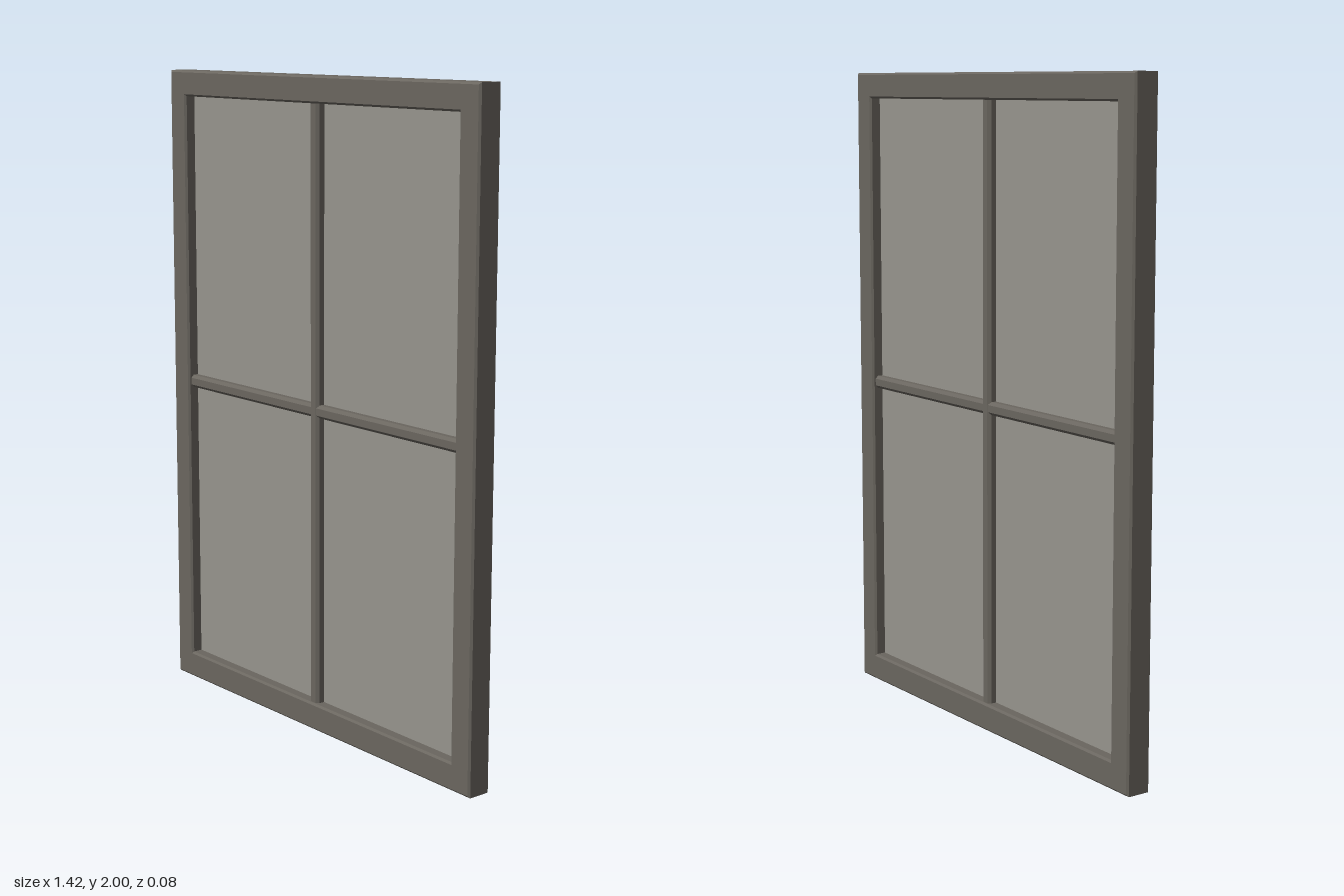
import * as THREE from 'three';

const W = 0.71, H = 2, D = 0.04;                        // half width, height, half depth
const IN = { x: 0.63, bottom: 0.085, top: 1.92 };       // frame opening
const BAR_Y = 1.005, BAR = 0.02;                        // crossbar height, half bar width

const rect = (Type, x, y0, y1) => new Type([
  new THREE.Vector2(-x, y0), new THREE.Vector2(x, y0),
  new THREE.Vector2(x, y1), new THREE.Vector2(-x, y1),
]);

// Glazing bar with chamfered edges, running along z and centred
function barGeometry(length, halfDepth) {
  const c = 0.009, w = BAR, d = halfDepth;
  const section = new THREE.Shape([
    [-w + c, -d], [w - c, -d], [w, -d + c], [w, d - c],
    [w - c, d], [-w + c, d], [-w, d - c], [-w, -d + c],
  ].map(([x, y]) => new THREE.Vector2(x, y)));
  const g = new THREE.ExtrudeGeometry(section, { depth: length, bevelEnabled: false });
  return g.translate(0, 0, -length / 2);
}

export function createModel() {
  const group = new THREE.Group();
  const frameMat = new THREE.MeshStandardMaterial({ color: 0x6a665f });
  frameMat.name = 'darkFrame';
  const glassMat = new THREE.MeshStandardMaterial({ color: 0x96948d });
  glassMat.name = 'greyGlass';

  const add = (name, geometry, material) => {
    const mesh = new THREE.Mesh(geometry, material);
    mesh.name = name;
    group.add(mesh);
    return mesh;
  };

  // Outer frame with slightly eased edges
  const b = 0.006;
  const outline = rect(THREE.Shape, W, 0, H);
  outline.holes.push(rect(THREE.Path, IN.x, IN.bottom, IN.top));
  const frame = new THREE.ExtrudeGeometry(outline, {
    depth: 2 * (D - b), bevelEnabled: true, bevelThickness: b,
    bevelSize: b, bevelOffset: -b, bevelSegments: 1,
  });
  add('frame', frame.translate(0, 0, -(D - b)), frameMat);

  // Glazing bars, let slightly into the frame
  const upright = barGeometry(IN.top - IN.bottom + 0.02, 0.031);
  upright.rotateX(Math.PI / 2).translate(0, (IN.top + IN.bottom) / 2, 0);
  add('uprightBar', upright, frameMat);

  const half = IN.x + 0.01;
  for (const side of [-1, 1]) {
    const cross = barGeometry(half, 0.03);
    cross.rotateZ(Math.PI / 2).rotateY(Math.PI / 2).translate(side * half / 2, BAR_Y, 0);
    // Section must stand with its depth along z
    cross.computeBoundingBox();
    const size = cross.boundingBox.getSize(new THREE.Vector3());
    if (size.y > size.z) cross.translate(0, -BAR_Y, 0).rotateX(Math.PI / 2).translate(0, BAR_Y, 0);
    add(side < 0 ? 'rightCrossbar' : 'leftCrossbar', cross, frameMat);
  }

  // Four thin panes
  const rows = [['lower', IN.bottom, BAR_Y], ['upper', BAR_Y, IN.top]];
  for (const [row, y0, y1] of rows) {
    for (const side of [-1, 1]) {
      const pane = add(row + (side < 0 ? 'Right' : 'Left') + 'Pane',
        new THREE.BoxGeometry(IN.x, y1 - y0, 0.009), glassMat);
      pane.position.set(side * IN.x / 2, (y0 + y1) / 2, 0);
    }
  }
  return group;
}
